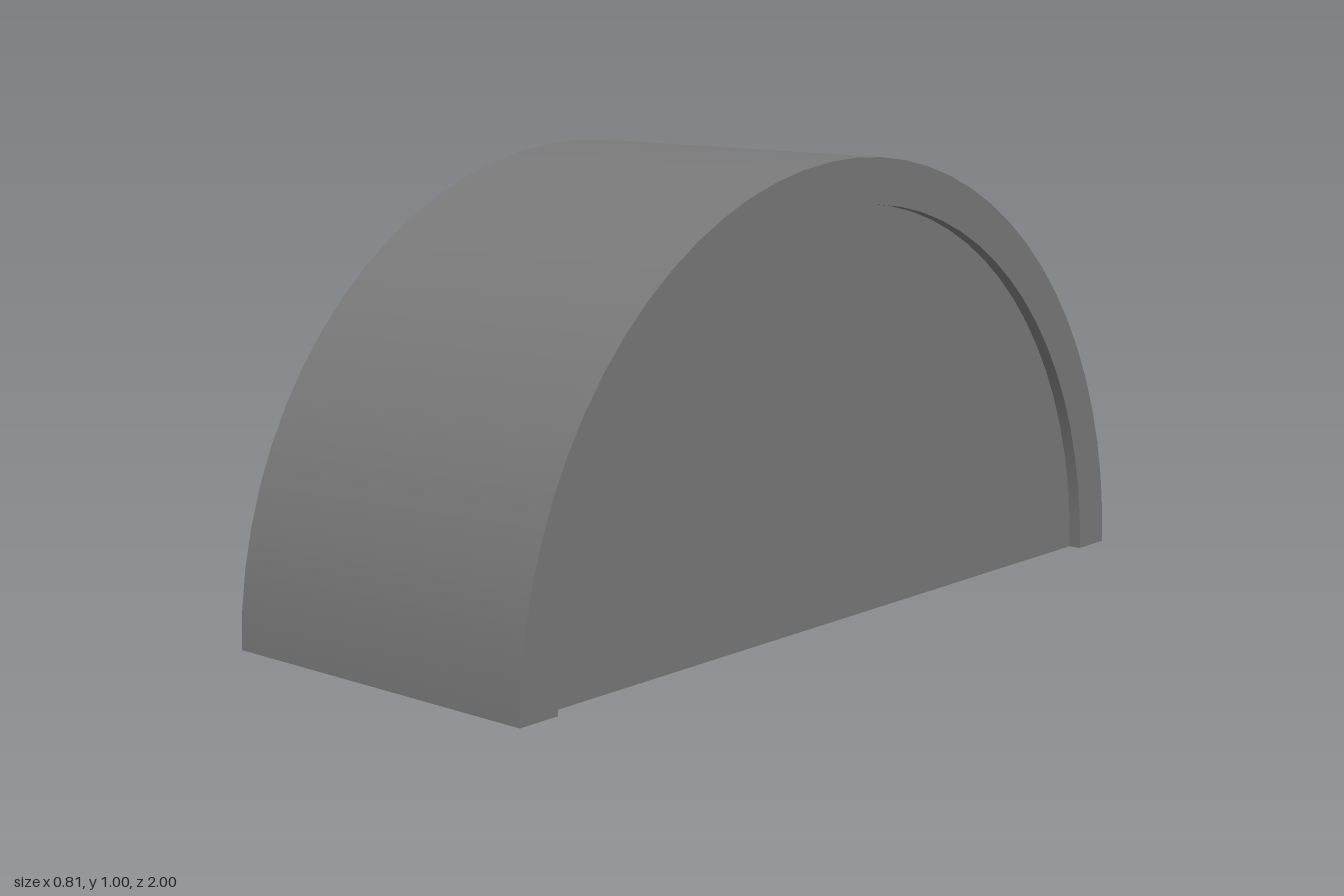
import * as THREE from 'three';
import { toCreasedNormals } from 'three/addons/utils/BufferGeometryUtils.js';

const OUTER = 1, SKIN = 0.99, INNER = 0.9, HALF = 0.405, BASE = 0.005, SEGMENTS = 36;
const rad = THREE.MathUtils.degToRad;

// Stepped niches in the lining: start and end angle of each row, in degrees
const NICHES = [[0.4, 5], [14, 26], [36, 46], [58, 69]];

export function createModel() {
  const model = new THREE.Group();
  const grey = new THREE.MeshStandardMaterial({ color: 0x797979 });
  grey.name = 'grey';

  const add = (name, geometry) => {
    const mesh = new THREE.Mesh(geometry, grey);
    mesh.name = name;
    model.add(mesh);
  };

  // Points on an arc, angles in degrees
  const arc = (radius, from = 0, to = 180, count = SEGMENTS) =>
    Array.from({ length: count + 1 }, (_, i) => {
      const a = rad(from + (to - from) * i / count);
      return new THREE.Vector2(Math.cos(a) * radius, Math.max(BASE, Math.sin(a) * radius));
    });

  // Extrude a cross-section along x, from x0 to x1
  const along = (points, x0, x1) => {
    const g = new THREE.ExtrudeGeometry(new THREE.Shape(points), { depth: x1 - x0, bevelEnabled: false });
    g.rotateY(Math.PI / 2).translate(x0, 0, 0);
    return toCreasedNormals(g, 0.4);
  };

  // Inner outline with niches: each has an upright back and a level ceiling
  const half = [];
  let last = 0;
  for (const [from, to] of NICHES) {
    half.push(...arc(INNER, last, from, 4));
    half.push(new THREE.Vector2(Math.cos(rad(from)) * INNER, Math.sin(rad(to)) * INNER));
    last = to;
  }
  half.push(...arc(INNER, last, 90, 6));
  const mirrored = half.slice(0, -1).reverse().map((p) => new THREE.Vector2(-p.x, p.y));
  const niched = [...half, ...mirrored];

  // Smooth outer skin of the vault, open at one end
  add('vaultSkin', along([...arc(OUTER), ...arc(SKIN).reverse()], -HALF, HALF));

  // Lining: plain ribs alternating with niched bays
  const stations = [-HALF, -0.335, -0.155, -0.09, 0.09, 0.155, 0.335, HALF];
  for (let i = 0; i < stations.length - 1; i++) {
    const isBay = i % 2 === 1;
    const inner = isBay ? niched : arc(INNER);
    add(isBay ? 'nichedBay' : 'rib',
      along([...arc(SKIN), ...[...inner].reverse()], stations[i], stations[i + 1]));
  }

  // Thin recessed end wall
  add('endWall', along(arc(INNER + 0.002), 0.37, 0.376));
  return model;
}
